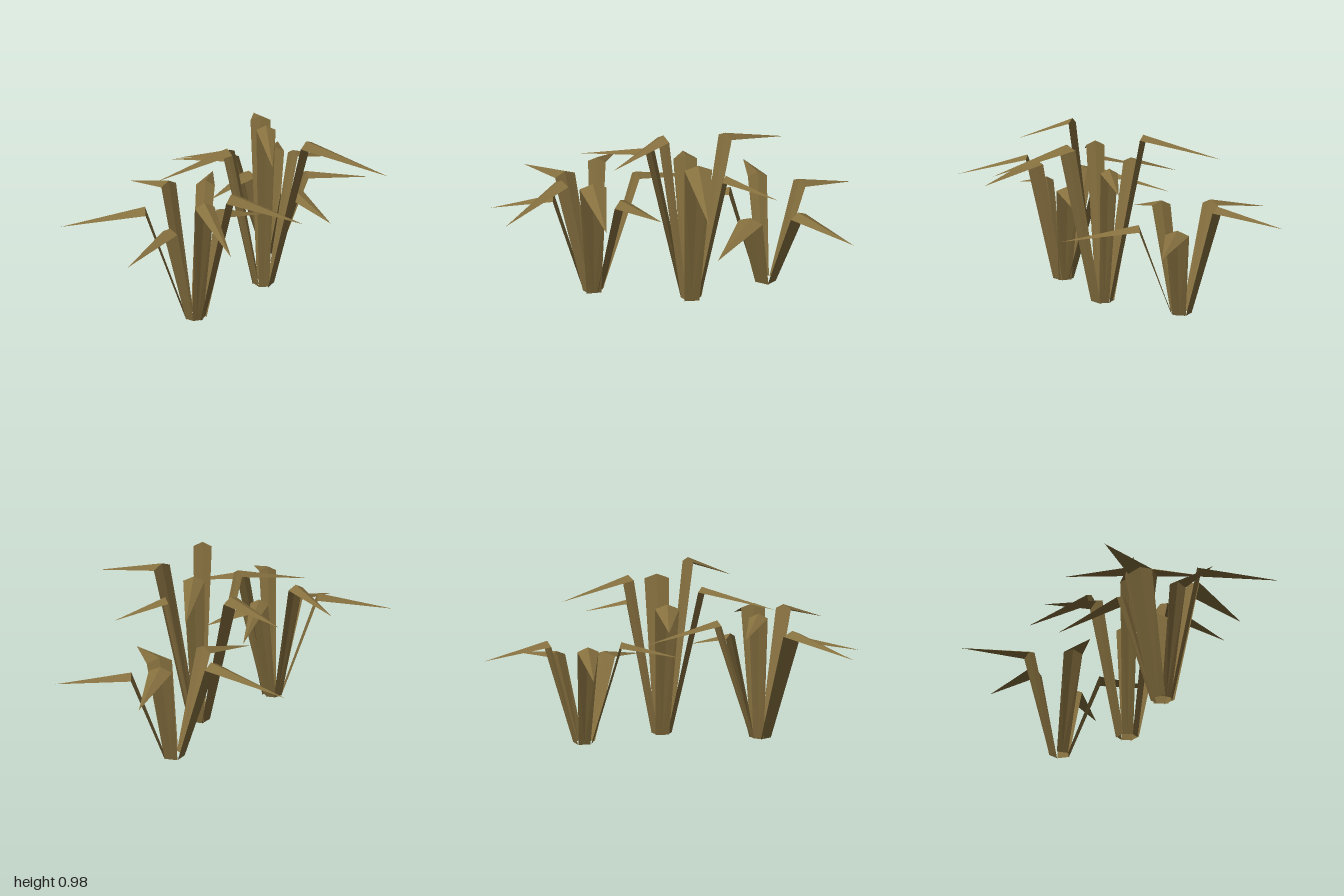
import * as THREE from 'three';

const RIDGE = 0.025; // height of the fold above the blade edges
const ROOT_RADIUS = 0.048;

// One folded blade: a flat stalk up to the elbow, then a ridged drooping point.
function makeBlade(centre, elbow, tip, width, material) {
  const root = new THREE.Vector3(centre[0], 0, centre[1]);
  const top = new THREE.Vector3(...elbow);
  const end = new THREE.Vector3(...tip);

  const out = new THREE.Vector3(end.x - root.x, 0, end.z - root.z).normalize();
  const side = new THREE.Vector3(-out.z, 0, out.x);
  root.addScaledVector(out, ROOT_RADIUS);

  const shoulder = top.clone().setY(top.y - RIDGE);
  const at = (p, s) => p.clone().addScaledVector(side, s);
  const rootL = at(root, -width * 0.29), rootR = at(root, width * 0.29);
  const left = at(shoulder, -width / 2), right = at(shoulder, width / 2);

  const triangles = [
    rootL, left, root, root, left, top, // stalk, left half
    root, top, right, root, right, rootR, // stalk, right half
    left, end, top, top, end, right, // drooping point
  ];
  const geometry = new THREE.BufferGeometry().setFromPoints(triangles);
  geometry.computeVertexNormals();
  const blade = new THREE.Mesh(geometry, material);
  blade.name = 'blade';
  return blade;
}

// Each blade: elbow, tip, width at the elbow
const tufts = [
  {
    name: 'leftTuft', centre: [-0.39, 0.23], blades: [
      [[-0.61, 0.63, 0.12], [-1.0, 0.54, -0.06], 0.13],
      [[-0.57, 0.57, 0.31], [-0.88, 0.49, 0.46], 0.09],
      [[-0.44, 0.72, 0.43], [-0.53, 0.6, 0.83], 0.1],
      [[-0.27, 0.72, 0.4], [-0.03, 0.61, 0.69], 0.14],
      [[-0.21, 0.57, 0.22], [0.04, 0.49, 0.22], 0.13],
      [[-0.21, 0.67, 0.04], [0.04, 0.57, -0.31], 0.1],
      [[-0.44, 0.72, 0.06], [-0.5, 0.63, -0.26], 0.1],
    ],
  },
  {
    name: 'middleTuft', centre: [0.14, 0.07], blades: [
      [[-0.1, 0.84, 0.08], [-0.52, 0.74, 0.09], 0.1],
      [[0.02, 0.76, -0.1], [-0.13, 0.66, -0.38], 0.13],
      [[0.24, 0.91, -0.13], [0.43, 0.8, -0.5], 0.11],
      [[0.33, 0.75, 0.06], [0.62, 0.66, 0.05], 0.09],
      [[0.27, 0.87, 0.27], [0.51, 0.75, 0.66], 0.14],
      [[0.05, 0.98, 0.22], [-0.09, 0.86, 0.5], 0.1],
    ],
  },
  {
    name: 'rightTuft', centre: [0.43, -0.3], blades: [
      [[0.29, 0.57, -0.48], [0.05, 0.48, -0.84], 0.11],
      [[0.55, 0.58, -0.46], [0.76, 0.5, -0.74], 0.12],
      [[0.63, 0.48, -0.24], [0.99, 0.42, -0.1], 0.12],
      [[0.42, 0.47, -0.08], [0.41, 0.39, 0.32], 0.14],
      [[0.23, 0.56, -0.23], [-0.08, 0.48, -0.13], 0.11],
    ],
  },
];

export function createModel() {
  const model = new THREE.Group();
  model.name = 'dryGrass';
  const dryGrass = new THREE.MeshStandardMaterial({ color: 0x86703f, side: THREE.DoubleSide, flatShading: true });
  dryGrass.name = 'dry grass';

  for (const { name, centre, blades } of tufts) {
    const tuft = new THREE.Group();
    tuft.name = name;
    for (const [elbow, tip, width] of blades) tuft.add(makeBlade(centre, elbow, tip, width, dryGrass));
    model.add(tuft);
  }
  return model;
}
